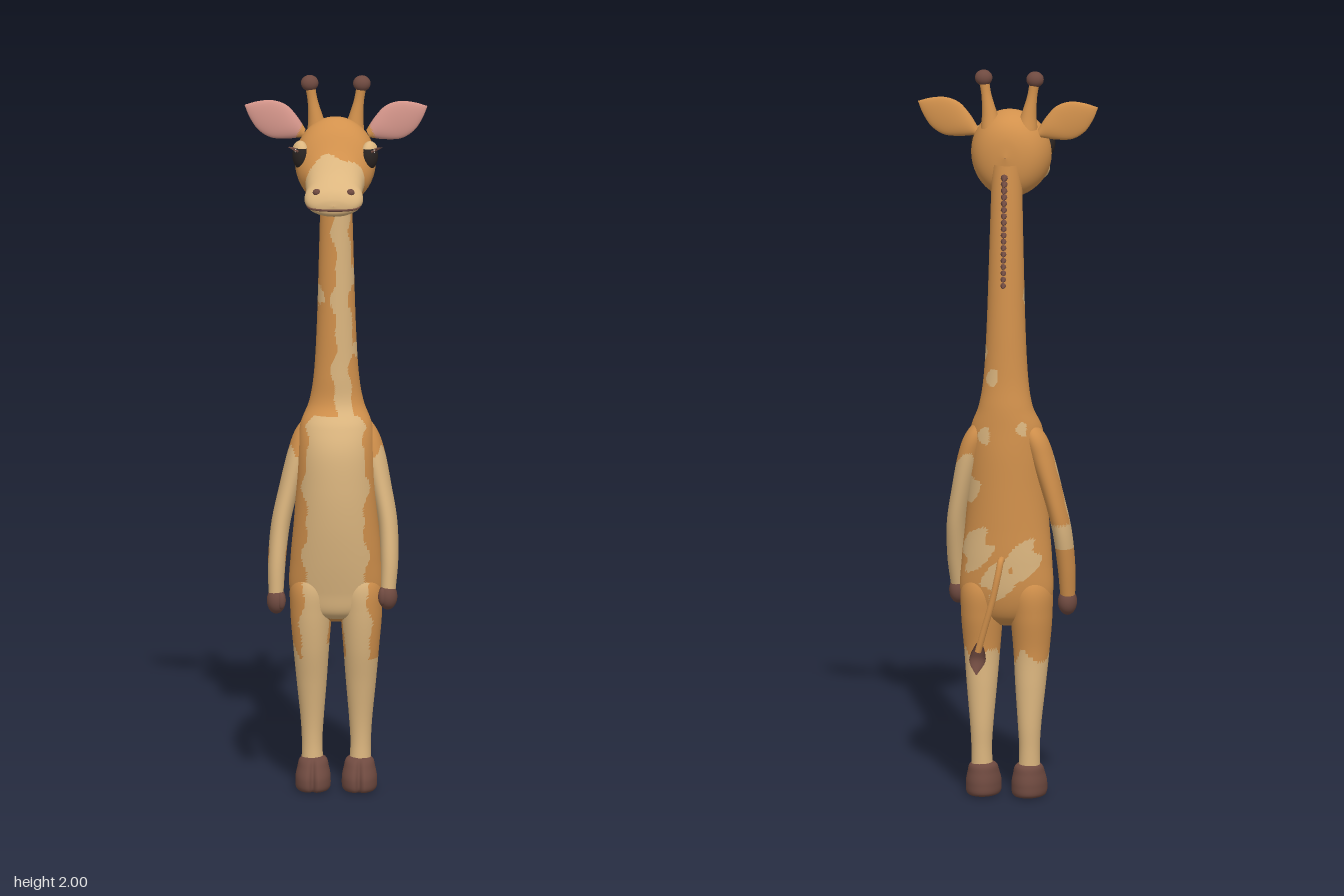
import * as THREE from 'three';

const mat = (name, color) => Object.assign(new THREE.MeshStandardMaterial({ color }), { name });
const coat = mat('orange coat', 0xd2914c);
const cream = mat('light tan', 0xdcb67f);
const brown = mat('dark brown', 0x6f4a40);
const pink = mat('ear pink', 0xd4958a);
const black = mat('eye black', 0x2a2422);
const white = mat('eye shine', 0xe8e4de);

const V = (x, y, z) => new THREE.Vector3(x, y, z);

// Smooth closed skin through rows of [x, y, z, radiusA, radiusB]; rings lie across the given axis
function loft(rows, axis = 'y', steps = 24, sides = 28) {
  const mid = new THREE.CatmullRomCurve3(rows.map(r => V(r[0], r[1], r[2])), false, 'catmullrom');
  const rad = new THREE.CatmullRomCurve3(rows.map(r => V(r[3], r[4], 0)), false, 'catmullrom');
  const pos = [], idx = [];
  for (let i = 0; i <= steps; i++) {
    const c = mid.getPoint(i / steps), r = rad.getPoint(i / steps);
    for (let j = 0; j < sides; j++) {
      const a = j / sides * Math.PI * 2;
      const u = Math.max(r.x, 0.0005) * Math.cos(a), v = Math.max(r.y, 0.0005) * Math.sin(a);
      if (axis === 'y') pos.push(c.x + u, c.y, c.z + v);
      else pos.push(c.x + u, c.y + v, c.z);
      if (i === steps) continue;
      const p = i * sides + j, q = i * sides + (j + 1) % sides;
      if (axis === 'y') idx.push(p, p + sides, q, q, p + sides, q + sides);
      else idx.push(p, q, p + sides, q, q + sides, p + sides);
    }
  }
  const g = new THREE.BufferGeometry();
  g.setAttribute('position', new THREE.Float32BufferAttribute(pos, 3));
  g.setIndex(idx);
  g.computeVertexNormals();
  return g;
}

// Sort the faces into two material groups: rule(centre) true takes the second material
function paint(g, rule) {
  const p = g.attributes.position, src = g.index.array, sets = [[], []];
  for (let i = 0; i < src.length; i += 3) {
    const c = V(0, 0, 0);
    for (let k = 0; k < 3; k++) c.add(V(0, 0, 0).fromBufferAttribute(p, src[i + k]));
    c.divideScalar(3);
    sets[rule(c.x, c.y, c.z) ? 1 : 0].push(src[i], src[i + 1], src[i + 2]);
  }
  g.setIndex([...sets[0], ...sets[1]]);
  g.addGroup(0, sets[0].length, 0);
  g.addGroup(sets[0].length, sets[1].length, 1);
  return g;
}

export function createModel() {
  const model = new THREE.Group();
  model.name = 'giraffe';
  const add = (name, geo, material, parent = model) => {
    const m = new THREE.Mesh(geo, material);
    m.name = name;
    parent.add(m);
    return m;
  };
  const blob = (name, material, at, size, parent) => {
    const m = add(name, new THREE.SphereGeometry(1, 24, 16), material, parent);
    m.position.set(...at);
    m.scale.set(...size);
    return m;
  };
  const wave = y => Math.sin(y * 31) * 0.6 + Math.sin(y * 67 + 1) * 0.4;

  // Torso and neck, with a pale belly, throat stripe and blotches
  const spots = [[0.1, 0.85, -0.11, 0.04], [0.08, 0.69, -0.13, 0.05], [-0.06, 0.66, -0.14, 0.045],
    [0.01, 0.61, -0.15, 0.045], [-0.06, 1.02, -0.14, 0.018], [0.05, 1.0, -0.14, 0.02],
    [0.05, 1.23, -0.08, 0.025], [0.045, 1.43, -0.05, 0.025], [0.03, 1.16, -0.13, 0.02], [-0.05, 1.38, -0.06, 0.025]];
  const body = loft([
    [0, 0.47, -0.07, 0.03, 0.02], [0, 0.5, -0.067, 0.1, 0.058], [0, 0.56, -0.07, 0.127, 0.074],
    [0, 0.65, -0.065, 0.124, 0.085], [0, 0.75, -0.059, 0.115, 0.091], [0, 0.85, -0.057, 0.108, 0.093],
    [0, 0.95, -0.06, 0.104, 0.09], [0, 1.02, -0.07, 0.097, 0.077], [0, 1.08, -0.085, 0.074, 0.059],
    [0, 1.16, -0.083, 0.061, 0.053], [0, 1.3, -0.08, 0.053, 0.05], [0, 1.5, -0.075, 0.047, 0.046],
    [0, 1.65, -0.07, 0.043, 0.043], [0, 1.75, -0.066, 0.04, 0.04]], 'y', 180, 80);
  add('torsoAndNeck', paint(body, (x, y, z) => {
    const w = wave(y);
    if (y > 1.05) {
      if (z > -0.052 && x > -0.004 + 0.012 * w && x < 0.042 + 0.01 * w) return true;
    } else if (z > -0.03 && Math.abs(x) < 0.082 + 0.012 * w) return true;
    return spots.some(([a, b, c, r]) =>
      Math.hypot(x - a, (y - b) * 0.8, z - c) < r * (1 + 0.25 * Math.sin(y * 90 + x * 80)));
  }), [coat, cream]);

  for (const s of [1, -1]) {
    const side = s > 0 ? 'left' : 'right';

    // Legs, pale below the knee
    const leg = loft([
      [0.065, 0.06, -0.085, 0.03, 0.034], [0.066, 0.13, -0.087, 0.028, 0.033],
      [0.066, 0.2, -0.086, 0.032, 0.037], [0.067, 0.3, -0.078, 0.041, 0.045],
      [0.068, 0.4, -0.068, 0.049, 0.055], [0.068, 0.5, -0.069, 0.057, 0.068],
      [0.064, 0.58, -0.07, 0.058, 0.068], [0.06, 0.65, -0.07, 0.02, 0.03]]
      .map(([x, ...r]) => [x * s, ...r]), 'y', 70, 44);
    add(side + 'Leg', paint(leg, (x, y, z) =>
      y < 0.39 + 0.02 * Math.sin(x * 70 + z * 60) || (z > -0.04 && Math.abs(x) < 0.092 + 0.01 * wave(y))),
      [coat, cream]);

    // Hooves with a cleft in the toe
    const hoof = loft([
      [0, 0, -0.072, 0.001, 0.001], [0, 0, -0.072, 0.042, 0.06], [0, 0.03, -0.072, 0.048, 0.067],
      [0, 0.06, -0.077, 0.043, 0.057], [0, 0.085, -0.083, 0.034, 0.041], [0, 0.095, -0.086, 0.001, 0.001]], 'y', 30, 56);
    const hp = hoof.attributes.position;
    for (let i = 0; i < hp.count; i++) {
      const front = Math.max(0, (hp.getZ(i) + 0.06) / 0.055);
      hp.setZ(i, hp.getZ(i) - 0.018 * front * Math.exp(-((hp.getX(i) / 0.007) ** 2)));
    }
    hoof.computeVertexNormals();
    add(side + 'Hoof', hoof, brown).position.x = s * 0.063;

    // Arms; the right one hangs a little lower and wider
    const low = s > 0 ? 0 : 1;
    const arm = loft([
      [0.143, 0.565, -0.018, 0.02, 0.024], [0.146, 0.65, -0.034, 0.024, 0.034], [0.141, 0.75, -0.055, 0.026, 0.041],
      [0.122, 0.85, -0.07, 0.028, 0.044], [0.1, 0.94, -0.08, 0.032, 0.045],
      [0.08, 1.0, -0.085, 0.03, 0.04], [0.06, 1.05, -0.088, 0.01, 0.015]]
      .map(([x, y, z, a, b], i) => {
        const k = low * Math.max(0, 1 - i / 4);
        return [s * (x + 0.02 * k), y - 0.02 * k, z - 0.02 * k, a, b];
      }), 'y', 60, 40);
    add(side + 'Arm', paint(arm, (x, y, z) => {
      if (y > 0.94 + 0.02 * Math.sin(z * 80)) return false;
      const centre = -0.02 - 0.05 * Math.min(1, (y - 0.56) / 0.3);
      return s > 0 || z > centre - 0.012 + 0.012 * wave(y) || Math.abs(y - 0.72) < 0.035;
    }), [coat, cream]);
    const hx = s * (0.142 + 0.02 * low), hy = 0.55 - 0.018 * low, hz = -0.017 - 0.02 * low;
    blob(side + 'Hand', brown, [hx, hy, hz], [0.026, 0.037, 0.031]);
    blob(side + 'Thumb', brown, [hx - s * 0.014, hy + 0.002, hz + 0.018], [0.012, 0.024, 0.013]);

    // Leaf-shaped ears, pink in front
    const ear = loft([
      [0, 0, 0, 0.012, 0.012], [0, 0.035, 0, 0.034, 0.016], [0, 0.075, 0, 0.05, 0.014],
      [0, 0.115, 0, 0.046, 0.011], [0, 0.15, 0, 0.026, 0.007], [0, 0.178, 0, 0.001, 0.001]], 'y', 30, 32);
    paint(ear, (x, y, z) => z > 0 && y > 0.015);
    ear.rotateZ(-s * 1.12);
    add(side + 'Ear', ear, [coat, pink]).position.set(s * 0.088, 1.833, -0.05);

    // Horns with dark knobs
    add(side + 'Horn', loft([
      [s * 0.048, 1.84, -0.032, 0.03, 0.03], [s * 0.054, 1.88, -0.031, 0.021, 0.021],
      [s * 0.063, 1.93, -0.03, 0.014, 0.014], [s * 0.071, 1.975, -0.029, 0.014, 0.014]]), coat);
    blob(side + 'HornKnob', brown, [s * 0.071, 1.978, -0.029], [0.024, 0.022, 0.021]);

    // Eyes with lid, lashes and shine
    const eye = new THREE.Group();
    eye.name = side + 'Eye';
    eye.position.set(s * 0.094, 1.79, 0.034);
    eye.rotation.y = s > 0 ? -0.4 : Math.PI + 0.4;
    model.add(eye);
    blob('eyeball', black, [0, 0, 0], [0.021, 0.038, 0.03], eye);
    blob('eyeShine', white, [0.017, 0.016, s * 0.008], [0.003, 0.005, 0.004], eye);
    const lid = add('eyelid', new THREE.SphereGeometry(1, 24, 8, 0, Math.PI * 2, 0, 0.95), cream, eye);
    lid.scale.set(0.024, 0.041, 0.033);
    for (let i = 0; i < 4; i++) {
      const lash = add('eyelash', new THREE.ConeGeometry(0.004, 0.02, 6), brown, eye);
      lash.position.set(0.023, 0.024 - Math.abs(i - 1.5) * 0.003, (i - 1.5) * 0.011);
      lash.rotation.z = -1.2;
    }

    // Nostrils
    blob(side + 'Nostril', brown, [s * 0.046, 1.717, 0.164], [0.011, 0.01, 0.01]);
  }

  // Head and pale muzzle
  const head = loft([[-0.096, 1.77, 1.768, 0.001], [-0.088, 1.825, 1.705, 0.045], [-0.07, 1.86, 1.67, 0.078],
    [-0.04, 1.881, 1.651, 0.1], [0, 1.888, 1.648, 0.11], [0.04, 1.862, 1.65, 0.103], [0.08, 1.808, 1.652, 0.082],
    [0.12, 1.764, 1.65, 0.076], [0.15, 1.741, 1.648, 0.08], [0.172, 1.722, 1.652, 0.07],
    [0.184, 1.702, 1.662, 0.046], [0.188, 1.684, 1.682, 0.001]]
    .map(([z, top, base, w]) => [0, (top + base) / 2, z, w, (top - base) / 2]), 'z', 110, 64);
  add('head', paint(head, (x, y, z) =>
    z > 0.086 + 0.006 * Math.sin(x * 60) || (y < 1.68 && z > 0.02)), [coat, cream]);
  const half = [[0.074, 1.684, 0.152], [0.067, 1.676, 0.172], [0.041, 1.673, 0.185]];
  const lips = [...half.map(p => V(...p)), V(0, 1.672, 0.188), ...half.reverse().map(([x, y, z]) => V(-x, y, z))];
  add('mouth', new THREE.TubeGeometry(new THREE.CatmullRomCurve3(lips), 40, 0.003, 6), brown);

  // Mane of short tufts down the back of the neck
  for (let i = 0; i < 18; i++) {
    const t = i / 17;
    const tuft = add('maneTuft', new THREE.ConeGeometry(0.014, 0.028, 8).rotateX(-Math.PI / 2 - 0.25), brown);
    tuft.position.set(0, 1.715 - 0.295 * t, -0.113 - 0.013 * t);
  }

  // Tail and tuft
  const tail = new THREE.CatmullRomCurve3([V(0, 0.66, -0.135), V(0, 0.665, -0.16), V(0.005, 0.63, -0.173),
    V(0.022, 0.55, -0.177), V(0.045, 0.47, -0.172), V(0.062, 0.41, -0.167)]);
  add('tail', new THREE.TubeGeometry(tail, 40, 0.009, 12), coat);
  add('tailTuft', loft([[0.058, 0.435, -0.168, 0.008, 0.008], [0.062, 0.405, -0.168, 0.02, 0.016],
    [0.064, 0.38, -0.167, 0.021, 0.018], [0.067, 0.345, -0.166, 0.001, 0.001]]), brown);

  return model;
}
